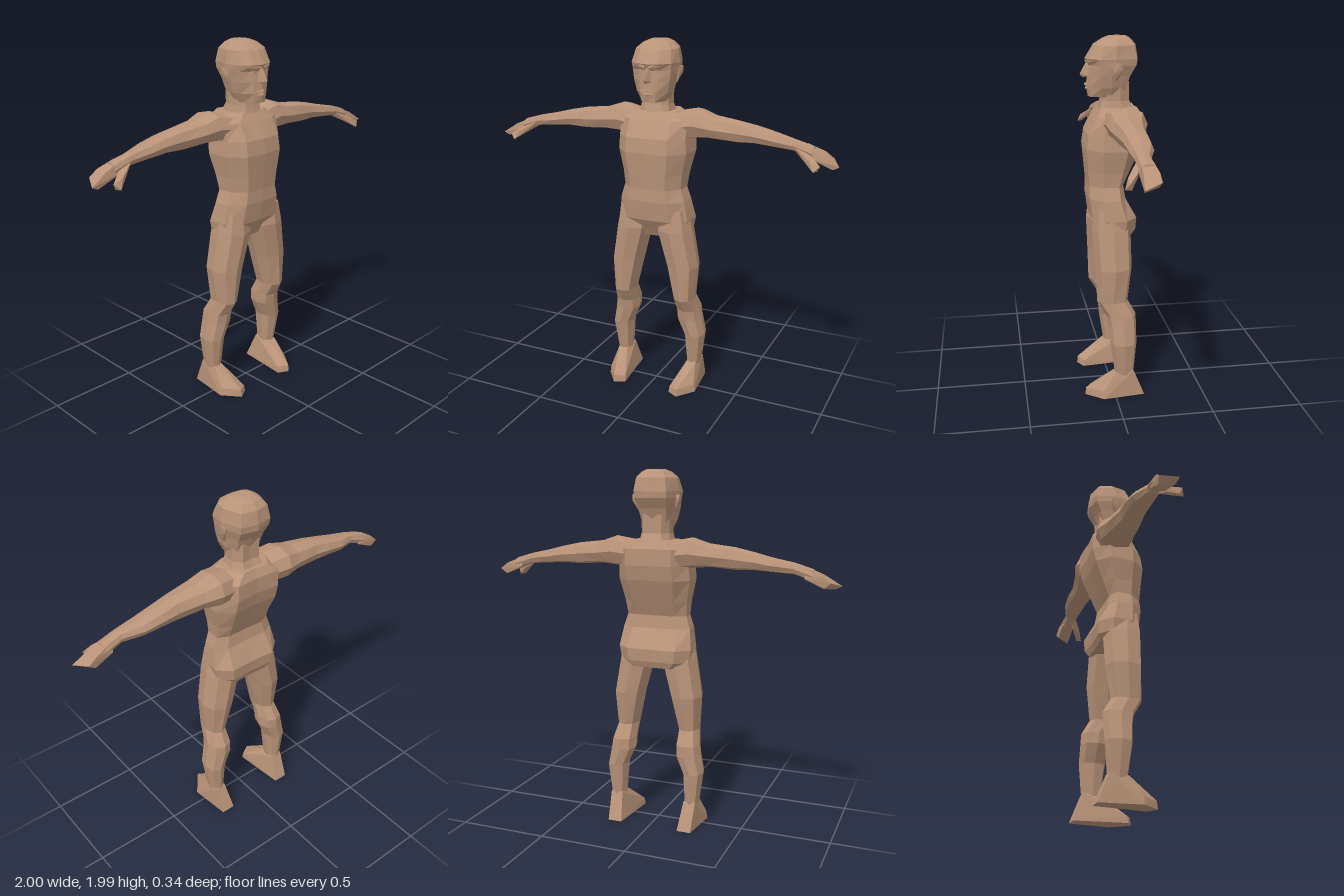
import * as THREE from 'three';
import { ConvexGeometry } from 'three/addons/geometries/ConvexGeometry.js';

const skin = new THREE.MeshStandardMaterial({ color: 0xb99378, flatShading: true });
skin.name = 'skin';

// Skin a list of equal-length rings of [x, y, z] points, capped at both ends
function loft(rings) {
  const n = rings[0].length, pos = rings.flat(2), tris = [];
  for (let i = 0; i < rings.length - 1; i++) {
    for (let j = 0; j < n; j++) {
      const a = i * n + j, b = i * n + (j + 1) % n;
      tris.push([a, b, b + n], [a, b + n, a + n]);
    }
  }
  const last = (rings.length - 1) * n;
  for (let j = 1; j < n - 1; j++) tris.push([0, j + 1, j], [last, last + j, last + j + 1]);
  // Face outwards whichever way the rings run
  const v = (i) => new THREE.Vector3().fromArray(pos, i * 3);
  const volume = tris.reduce((s, [a, b, c]) => s + v(a).dot(v(b).cross(v(c))), 0);
  const index = tris.flatMap(([a, b, c]) => (volume < 0 ? [a, c, b] : [a, b, c]));
  const g = new THREE.BufferGeometry();
  g.setAttribute('position', new THREE.Float32BufferAttribute(pos, 3));
  g.setIndex(index);
  const flat = g.toNonIndexed();
  flat.computeVertexNormals();
  return flat;
}

const hull = (points) => new ConvexGeometry(points.map((p) => new THREE.Vector3(...p)));

// Complete a half outline (front centre to back centre) across x = 0
const mirrorRing = (half, y) => {
  const right = half.slice(1, -1).reverse().map(([x, z]) => [-x, z]);
  return [...half, ...right].map(([x, z]) => [x, y, z]);
};

// Eight-sided ring between two limits on each of two axes
const octagon = (a0, a1, b0, b1) => {
  const k = 0.58, a = (a0 + a1) / 2, b = (b0 + b1) / 2, ra = (a1 - a0) / 2, rb = (b1 - b0) / 2;
  return [[1, 0], [k * 1.3, k * 1.3], [0, 1], [-k * 1.3, k * 1.3], [-1, 0], [-k * 1.3, -k * 1.3], [0, -1], [k * 1.3, -k * 1.3]]
    .map(([u, w]) => [a + u * ra, b + w * rb]);
};

export function createModel() {
  const model = new THREE.Group();
  model.name = 'figure';
  const add = (name, geometry) => {
    const mesh = new THREE.Mesh(geometry, skin);
    mesh.name = name;
    model.add(mesh);
  };

  // Torso: [y, half width, front z, back z]
  const trunk = (rows) => loft(rows.map(([y, w, f, b]) => mirrorRing(
    [[0, f], [w * 0.6, f * 0.94], [w * 0.97, f * 0.4], [w, b * 0.5], [w * 0.65, b], [0, b * 0.95]], y)));
  add('torso', trunk([
    [0.915, 0.16, 0.05, -0.11], [0.95, 0.2, 0.07, -0.125], [1.02, 0.212, 0.115, -0.13], [1.13, 0.195, 0.132, -0.07],
    [1.2, 0.172, 0.13, -0.06], [1.28, 0.18, 0.137, -0.095], [1.4, 0.205, 0.147, -0.145],
    [1.48, 0.2, 0.135, -0.165], [1.57, 0.2, 0.085, -0.165], [1.615, 0.12, 0.055, -0.14],
  ]));
  add('neck', trunk([[1.57, 0.1, 0.07, -0.14], [1.65, 0.08, 0.048, -0.1], [1.75, 0.082, 0.03, -0.1]]));

  // Head: y, then half outline from face centre to back of skull
  const headRows = [
    [1.67, [[0, 0.115], [0.038, 0.105], [0.066, 0.05], [0.074, 0], [0.055, -0.07], [0, -0.085]]],
    [1.72, [[0, 0.125], [0.045, 0.108], [0.09, 0.055], [0.097, 0], [0.07, -0.08], [0, -0.093]]],
    [1.78, [[0, 0.12], [0.05, 0.103], [0.103, 0.06], [0.11, 0], [0.08, -0.1], [0, -0.118]]],
    [1.835, [[0, 0.115], [0.055, 0.096], [0.11, 0.06], [0.124, -0.02], [0.09, -0.13], [0, -0.152]]],
    [1.87, [[0, 0.132], [0.06, 0.117], [0.114, 0.065], [0.126, -0.02], [0.092, -0.135], [0, -0.155]]],
    [1.94, [[0, 0.088], [0.055, 0.078], [0.1, 0.04], [0.115, -0.025], [0.082, -0.122], [0, -0.142]]],
    [1.97, [[0, 0.04], [0.045, 0.032], [0.072, 0.01], [0.08, -0.035], [0.06, -0.1], [0, -0.115]]],
    [1.985, [[0, 0.005], [0.025, 0], [0.04, -0.015], [0.045, -0.04], [0.035, -0.08], [0, -0.09]]],
  ];
  add('head', loft(headRows.map(([y, half]) => mirrorRing(half, y))));
  add('nose', hull([[0, 1.85, 0.124], [0, 1.787, 0.158], [0, 1.77, 0.142],
    [0.024, 1.778, 0.112], [-0.024, 1.778, 0.112], [0.012, 1.85, 0.11], [-0.012, 1.85, 0.11]]));
  // Lips
  for (const [name, y, z] of [['upperLip', 1.737, 0.136], ['lowerLip', 1.718, 0.132]]) {
    add(name, hull([[0, y + 0.008, z - 0.006], [0, y - 0.007, z], [0.038, y - 0.006, 0.11], [-0.038, y - 0.006, 0.11],
      [0, y - 0.012, 0.115]]));
  }

  for (const s of [1, -1]) {
    const side = s > 0 ? 'left' : 'right';
    const flip = (points) => points.map(([x, y, z]) => [x * s, y, z]);

    // Face details
    add(side + 'Brow', hull(flip([[0.012, 1.852, 0.13], [0.012, 1.862, 0.12], [0.05, 1.866, 0.121],
      [0.085, 1.858, 0.094], [0.05, 1.852, 0.118], [0.085, 1.85, 0.08], [0.015, 1.85, 0.11]])));
    add(side + 'Eye', hull(flip([[0.022, 1.829, 0.108], [0.048, 1.84, 0.107], [0.078, 1.831, 0.084],
      [0.05, 1.822, 0.107], [0.05, 1.83, 0.09]])));
    add(side + 'Ear', hull(flip([[0.118, 1.85, 0.0], [0.136, 1.853, -0.045], [0.132, 1.82, -0.055],
      [0.112, 1.76, -0.01], [0.105, 1.765, -0.03], [0.115, 1.85, -0.05], [0.125, 1.8, -0.01]])));

    // Arm: [x, bottom y, top y, back z, front z]
    add(side + 'Arm', loft([
      [0.1, 1.46, 1.61, -0.14, 0.07], [0.22, 1.47, 1.632, -0.168, 0.052], [0.31, 1.478, 1.602, -0.142, 0.046],
      [0.45, 1.468, 1.586, -0.118, 0.025], [0.55, 1.472, 1.565, -0.12, 0.015], [0.65, 1.465, 1.54, -0.113, 0.01],
      [0.76, 1.457, 1.517, -0.075, 0], [0.86, 1.425, 1.488, -0.085, 0],
    ].map(([x, ...r]) => octagon(...r).map(([y, z]) => [x * s, y, z]))));
    add(side + 'Hand', hull(flip([[0.82, 1.495, -0.015], [0.82, 1.495, -0.07], [0.82, 1.44, -0.005], [0.82, 1.44, -0.08],
      [0.91, 1.458, -0.01], [0.91, 1.458, -0.085], [1, 1.402, 0], [0.955, 1.425, -0.087],
      [0.965, 1.385, -0.005], [0.92, 1.395, -0.08]])));
    add(side + 'Thumb', hull(flip([[0.76, 1.485, -0.01], [0.77, 1.455, -0.02], [0.85, 1.45, 0], [0.86, 1.43, 0.05],
      [0.915, 1.41, 0.05], [0.885, 1.38, 0.068], [0.9, 1.38, 0.04], [0.84, 1.425, 0.0]])));

    // Leg: [y, inner x, outer x, back z, front z]
    add(side + 'Leg', loft([
      [1.08, 0.05, 0.195, -0.06, 0.1], [0.96, 0.025, 0.222, -0.1, 0.115], [0.75, 0.083, 0.256, -0.1, 0.102],
      [0.56, 0.13, 0.24, -0.075, 0.095], [0.48, 0.127, 0.258, -0.12, 0.048], [0.42, 0.127, 0.268, -0.122, 0.038],
      [0.32, 0.172, 0.286, -0.12, 0.028], [0.13, 0.185, 0.26, -0.105, 0],
    ].map(([y, ...r]) => octagon(...r).map(([x, z]) => [x * s, y, z]))));
    add(side + 'Foot', hull(flip([[0.195, 0.145, 0], [0.25, 0.145, 0], [0.188, 0.155, -0.1], [0.256, 0.155, -0.1],
      [0.17, 0, -0.163], [0.25, 0, -0.163], [0.14, 0, 0.135], [0.2, 0, 0.168], [0.276, 0, 0.07],
      [0.143, 0.035, 0.13], [0.2, 0.042, 0.163], [0.268, 0.045, 0.07]])));
  }
  return model;
}
